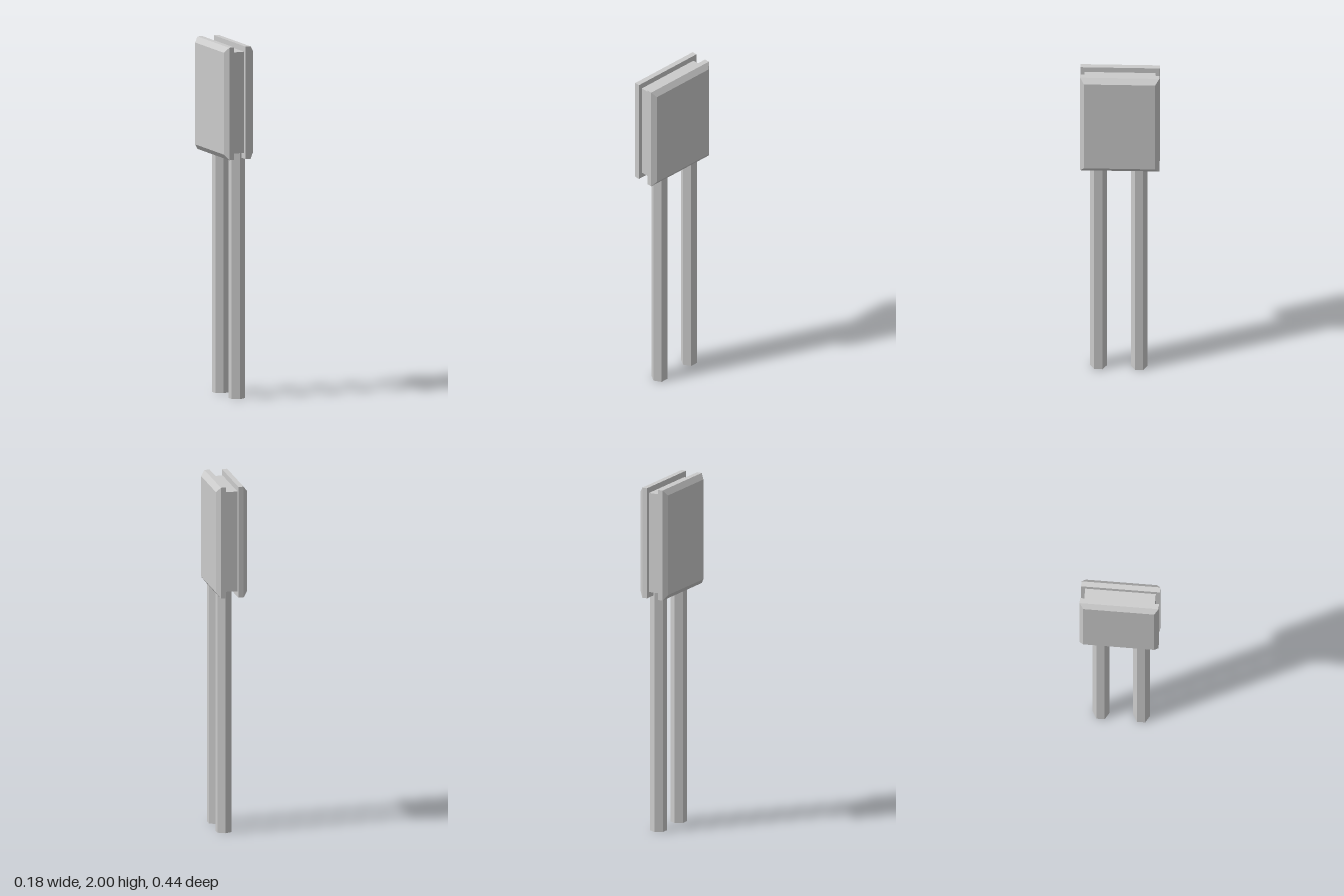
import * as THREE from 'three';

const material = new THREE.MeshStandardMaterial({ color: 0xcccccc, flatShading: true });
const openMaterial = new THREE.MeshStandardMaterial({ color: 0xcccccc, flatShading: true, side: THREE.DoubleSide });

const HEAD_Y = 1.682;

// Side plate whose outer face is bevelled; side is +1 for left, -1 for right
function platePanel(side) {
  const inner = 0.035, shoulder = 0.065, outer = 0.088;
  const geometry = new THREE.BoxGeometry(2, 0.636, 0.442, 2, 1, 1);
  const p = geometry.attributes.position;
  for (let i = 0; i < p.count; i++) {
    const s = Math.round(p.getX(i) * side); // -1 inner, 0 shoulder, 1 outer
    p.setX(i, side * [inner, shoulder, outer][s + 1]);
    if (s === 1) {
      p.setY(i, p.getY(i) - Math.sign(p.getY(i)) * 0.03);
      p.setZ(i, p.getZ(i) - Math.sign(p.getZ(i)) * 0.022);
    }
  }
  geometry.computeVertexNormals();
  const mesh = new THREE.Mesh(geometry, material);
  mesh.position.y = HEAD_Y;
  mesh.name = side > 0 ? 'leftPlate' : 'rightPlate';
  return mesh;
}

// Open hexagonal tube standing on the ground
function post(name, z) {
  const top = 1.4;
  const mesh = new THREE.Mesh(new THREE.CylinderGeometry(0.047, 0.047, top, 6, 1, true), openMaterial);
  mesh.position.set(0.025, top / 2, z);
  mesh.name = name;
  return mesh;
}

export function createModel() {
  const model = new THREE.Group();
  model.name = 'signOnPosts';

  // Core between the two plates
  const core = new THREE.Mesh(new THREE.BoxGeometry(0.07, 0.572, 0.396), material);
  core.position.y = HEAD_Y;
  core.name = 'core';

  model.add(core, platePanel(1), platePanel(-1), post('frontPost', 0.119), post('backPost', -0.108));
  return model;
}
